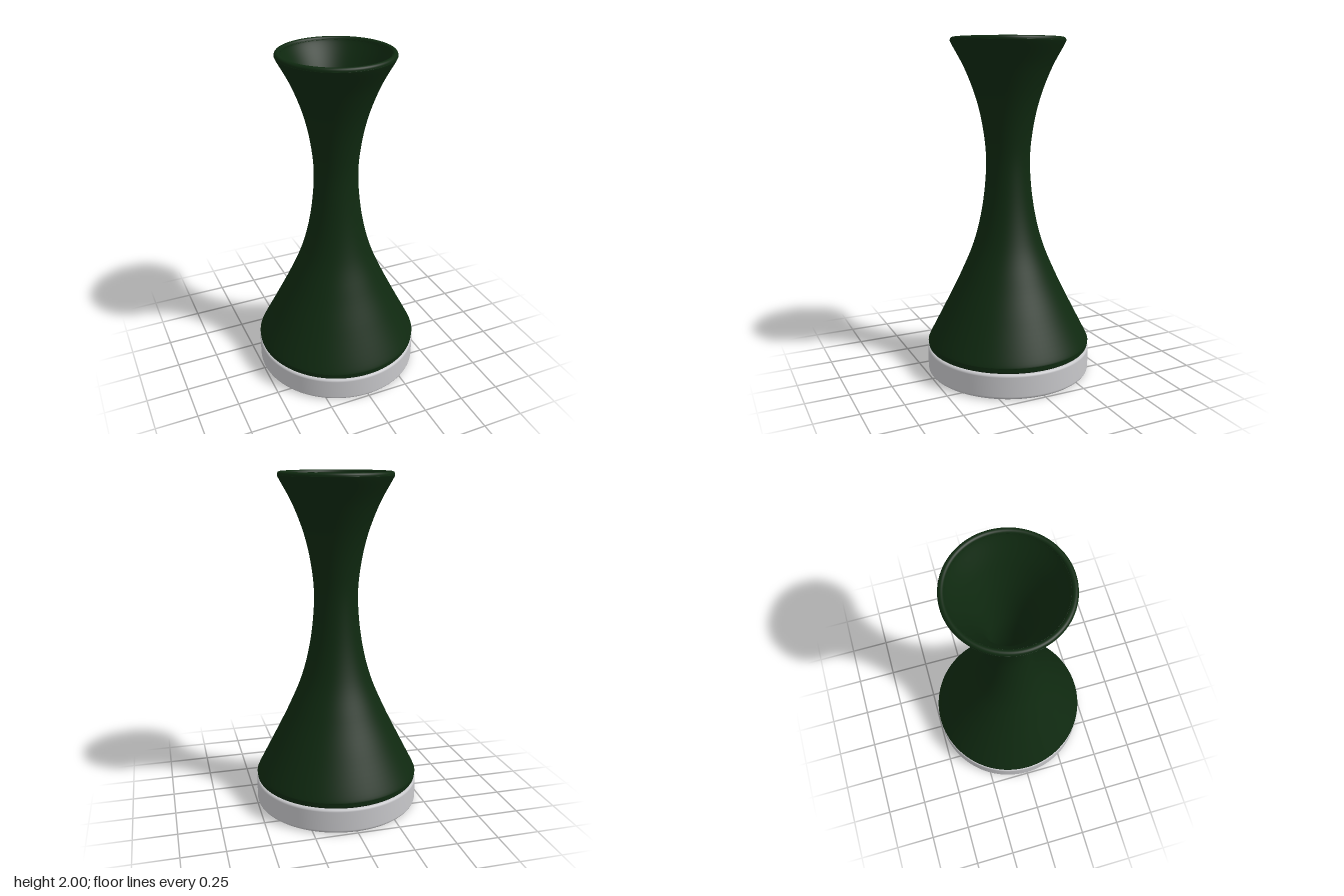
import * as THREE from 'three';

const green = new THREE.MeshStandardMaterial({ color: 0x0f2910 });
green.name = 'dark green';
const grey = new THREE.MeshStandardMaterial({ color: 0xc8c8cb });
grey.name = 'light grey';

const v = (r, y) => new THREE.Vector2(r, y);

// Quarter-round corner between two angles, as profile points
function arc(cx, cy, r, a0, a1, n = 6) {
  return Array.from({ length: n + 1 }, (_, i) => {
    const a = a0 + (a1 - a0) * i / n;
    return v(cx + r * Math.cos(a), cy + r * Math.sin(a));
  });
}

function lathe(name, points, material) {
  const mesh = new THREE.Mesh(new THREE.LatheGeometry(points, 96), material);
  mesh.name = name;
  return mesh;
}

export function createModel() {
  const group = new THREE.Group();
  group.name = 'pedestal';
  const H = Math.PI / 2;

  // Hollow waisted shell: outer wall up, over the rim, inner wall down
  const outer = new THREE.SplineCurve([
    v(0.49, 0.185), v(0.482, 0.21), v(0.385, 0.4), v(0.287, 0.6), v(0.205, 0.8), v(0.153, 1.02),
    v(0.13, 1.26), v(0.143, 1.45), v(0.183, 1.64), v(0.25, 1.82), v(0.325, 1.96), v(0.333, 1.98),
  ]).getPoints(70);
  const inner = new THREE.SplineCurve([
    v(0.3, 1.985), v(0.293, 1.965), v(0.22, 1.82), v(0.153, 1.64), v(0.113, 1.45), v(0.1, 1.26),
    v(0.123, 1.02), v(0.175, 0.8), v(0.257, 0.6), v(0.355, 0.4), v(0.46, 0.18), v(0.46, 0.152),
  ]).getPoints(70);
  const shell = [
    v(0.46, 0.152), ...arc(0.476, 0.166, 0.014, -H, 0), ...outer,
    ...arc(0.317, 1.984, 0.016, 0, 2 * H, 12), ...inner,
  ];
  group.add(lathe('shell', shell, green));

  // Solid foot disc with rounded edges
  const foot = [
    v(0, 0), v(0.46, 0), ...arc(0.475, 0.02, 0.02, -H, 0),
    ...arc(0.48, 0.135, 0.015, 0, H), v(0.46, 0.15), v(0, 0.15),
  ];
  group.add(lathe('foot', foot, grey));

  return group;
}
